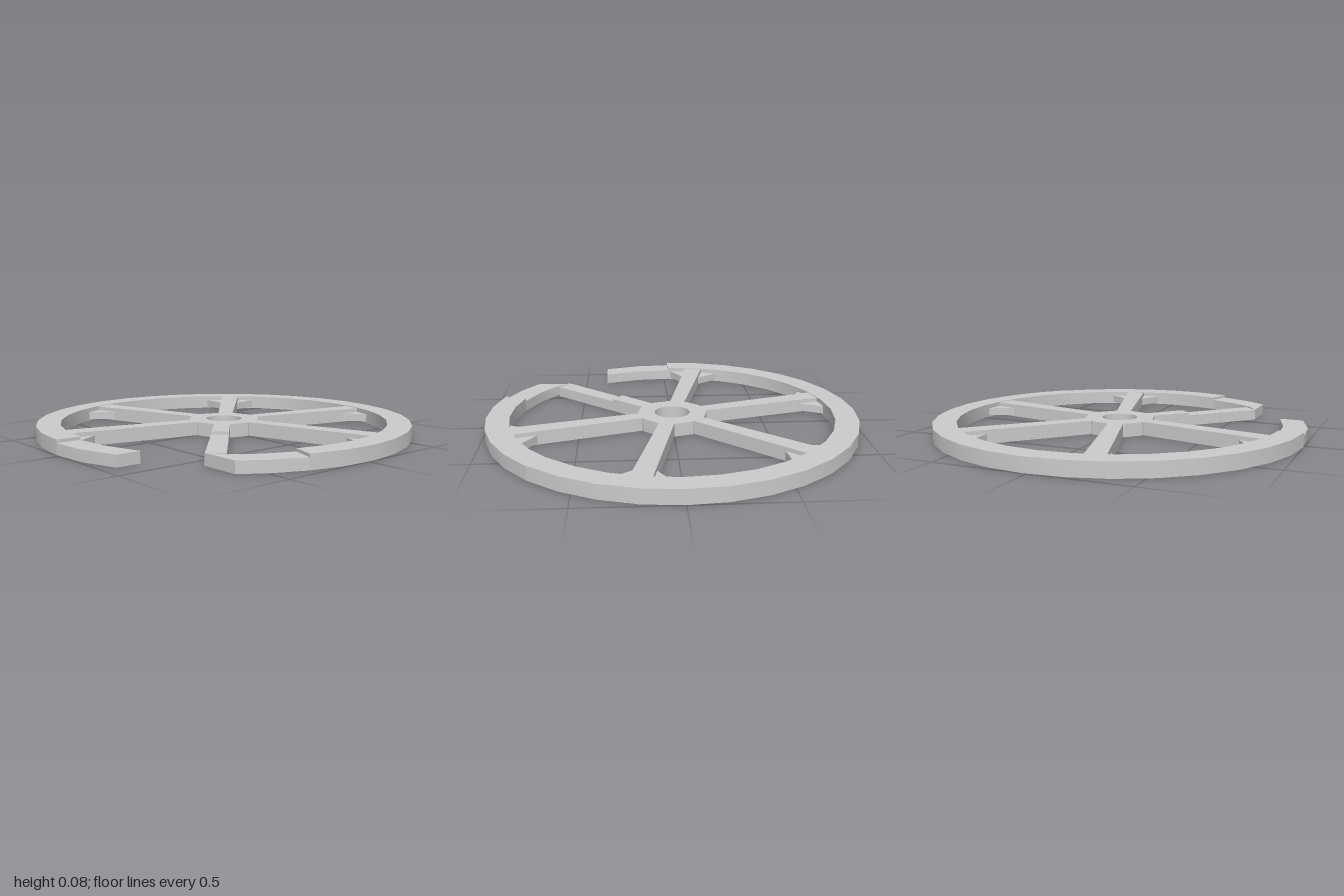
import * as THREE from 'three';
import { toCreasedNormals } from 'three/addons/utils/BufferGeometryUtils.js';

const OUTER = 1, INNER = 0.875, TOP = 0.075, WORN = 0.058, SPOKE_TOP = 0.072;
const rad = THREE.MathUtils.degToRad;
const polar = (r, deg) => new THREE.Vector2(r * Math.cos(rad(deg)), r * Math.sin(rad(deg)));

export function createModel() {
  const wheel = new THREE.Group();
  wheel.name = 'brokenWheel';
  const material = new THREE.MeshStandardMaterial({ color: 0xcccccc });

  // Plan outline (x, -z) raised from y0 to y1
  function slab(name, outline, y0, y1, parent = wheel) {
    const shape = outline instanceof THREE.Shape ? outline : new THREE.Shape(outline);
    const geo = new THREE.ExtrudeGeometry(shape, { depth: y1 - y0, bevelEnabled: false, curveSegments: 24 });
    geo.rotateX(-Math.PI / 2).translate(0, y0, 0);
    const mesh = new THREE.Mesh(toCreasedNormals(geo, rad(25)), material);
    mesh.name = name;
    parent.add(mesh);
    return mesh;
  }

  // Points along an arc, in steps of the 32-sided rim
  function arc(r, from, to) {
    const n = Math.max(1, Math.round(Math.abs(to - from) / 11.25));
    return Array.from({ length: n + 1 }, (_, i) => polar(r, from + (to - from) * i / n));
  }
  const rimPart = (name, from, to, top) =>
    slab(name, [...arc(OUTER, from, to), ...arc(INNER, to, from)], 0, top);

  // Rim: whole part, slightly settled part
  rimPart('rim', 45, 268.5, TOP);
  rimPart('rimSettled', -19, 45, 0.073);

  // Thinner broken ends of the rim, cut square to x and to z
  slab('rimBrokenEndFront', [
    ...arc(OUTER, 268.5, 280), new THREE.Vector2(0.37, -0.925),
    new THREE.Vector2(0.37, -0.8), ...arc(INNER, 281, 268.5),
  ], 0, WORN);
  slab('rimBrokenEndSide', [
    new THREE.Vector2(0.59, -0.61), new THREE.Vector2(0.79, -0.61),
    ...arc(OUTER, -29, -19), ...arc(INNER, -19, -30), new THREE.Vector2(0.67, -0.56),
  ], 0, WORN);

  // Hub with a round bore
  const hub = new THREE.Shape(Array.from({ length: 12 }, (_, i) => polar(0.19, 17 + 15 + i * 30)));
  hub.holes.push(new THREE.Path().absarc(0, 0, 0.095, 0, Math.PI * 2, true));
  slab('hub', hub, 0, SPOKE_TOP);

  // Tapered bar from radius a to b
  const bar = (a, b) => {
    const half = r => 0.04 + 0.012 * (r - 0.16) / 0.7;
    return [[a, -half(a)], [b, -half(b)], [b, half(b)], [a, half(a)]].map(p => new THREE.Vector2(...p));
  };
  const gusset = [[0.75, -0.05], [0.88, -0.165], [0.905, 0], [0.88, 0.165], [0.75, 0.05]]
    .map(p => new THREE.Vector2(...p));

  // Five whole spokes with brackets at the rim
  for (const angle of [16.5, 77.5, 137, 196.5, 257.5]) {
    const spoke = new THREE.Group();
    spoke.name = 'spoke';
    spoke.rotation.y = rad(angle);
    slab('spokeBar', bar(0.16, 0.88), 0, SPOKE_TOP, spoke);
    slab('spokeBracket', gusset, 0.008, 0.05, spoke);
    wheel.add(spoke);
  }

  // Broken spoke: full near the hub, thinner beyond the step
  const broken = new THREE.Group();
  broken.name = 'brokenSpoke';
  broken.rotation.y = rad(-43);
  slab('brokenSpokeInner', bar(0.16, 0.41), 0, SPOKE_TOP, broken);
  slab('brokenSpokeOuter', bar(0.41, 0.848).map((p, i) => i === 1 ? p.set(0.846, -0.045) : p), 0, WORN, broken);
  wheel.add(broken);

  return wheel;
}
